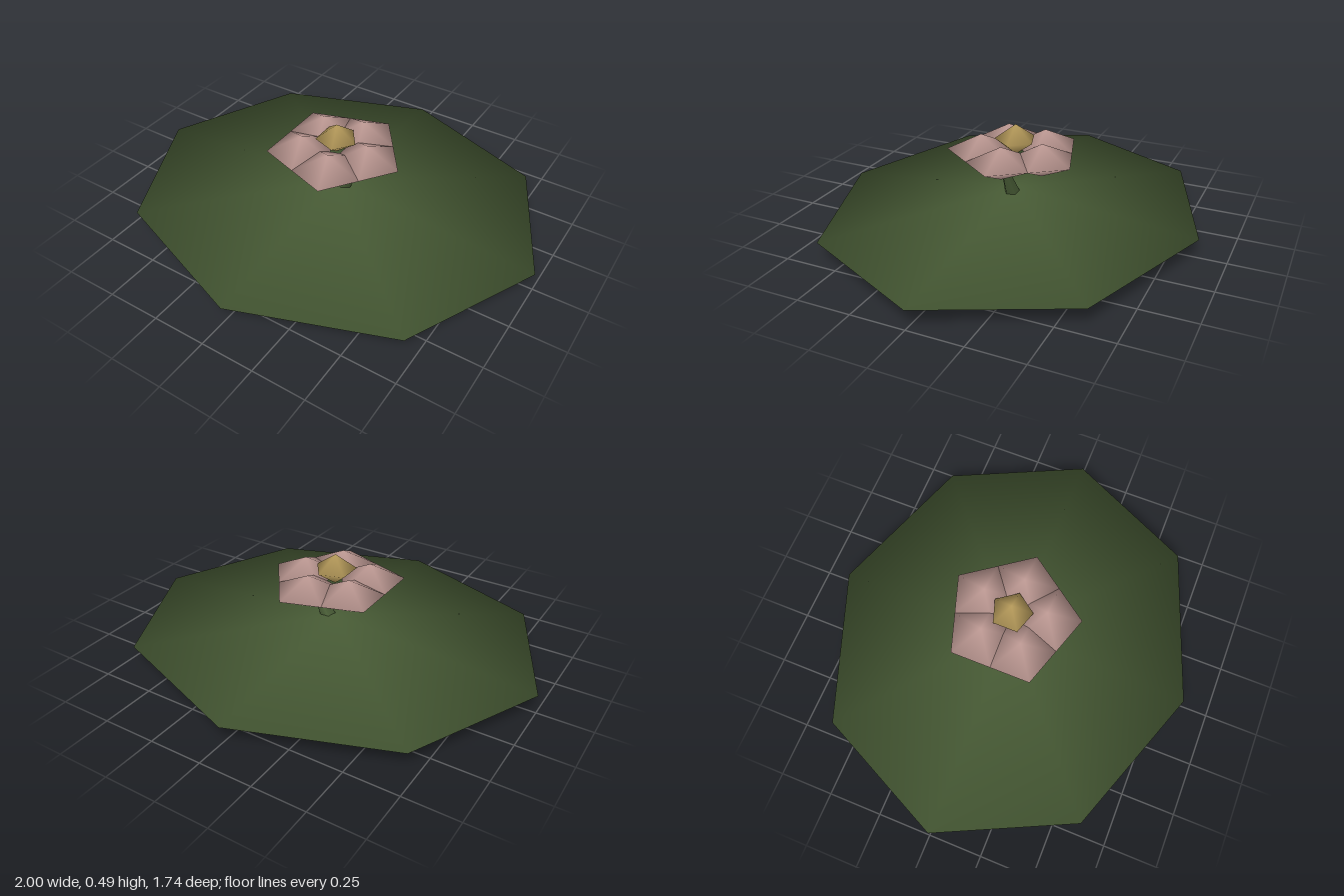
import * as THREE from 'three';

export function createModel() {
  const group = new THREE.Group();
  const mat = (name, color) => {
    const m = new THREE.MeshStandardMaterial({ color });
    m.name = name;
    return m;
  };
  const green = mat('leafGreen', 0x4a5e37);
  const pink = mat('petalPink', 0xc29d97);
  const yellow = mat('heartYellow', 0xb99d5c);

  // Low-poly double pyramid with smooth normals, one corner facing +x
  const gem = (name, sides, size, pos, material) => {
    const geo = new THREE.SphereGeometry(1, sides, 2);
    geo.rotateY(Math.PI);
    geo.scale(...size);
    const mesh = new THREE.Mesh(geo, material);
    mesh.name = name;
    mesh.position.set(...pos);
    group.add(mesh);
  };

  // Floating leaf
  gem('lilyPad', 8, [1, 0.0875, 0.872], [0, 0.0875, 0], green);

  // Leaning, tapered stem from the pad's middle into a petal
  const from = new THREE.Vector3(0, 0.09, 0);
  const to = new THREE.Vector3(0.16, 0.38, 0);
  const axis = to.clone().sub(from);
  const stem = new THREE.Mesh(new THREE.CylinderGeometry(0.006, 0.046, axis.length(), 5), green);
  stem.name = 'stem';
  stem.position.copy(from).lerp(to, 0.5);
  stem.quaternion.setFromUnitVectors(new THREE.Vector3(0, 1, 0), axis.normalize());
  group.add(stem);

  // Ring of five petals
  for (let i = 0; i < 5; i++) {
    const a = (i / 5) * Math.PI * 2;
    gem('petal' + (i + 1), 5, [0.16, 0.078, 0.16],
      [0.16 * Math.cos(a), 0.355, 0.16 * Math.sin(a)], pink);
  }

  // Flower heart
  gem('flowerHeart', 5, [0.098, 0.073, 0.098], [0, 0.415, 0], yellow);

  return group;
}
